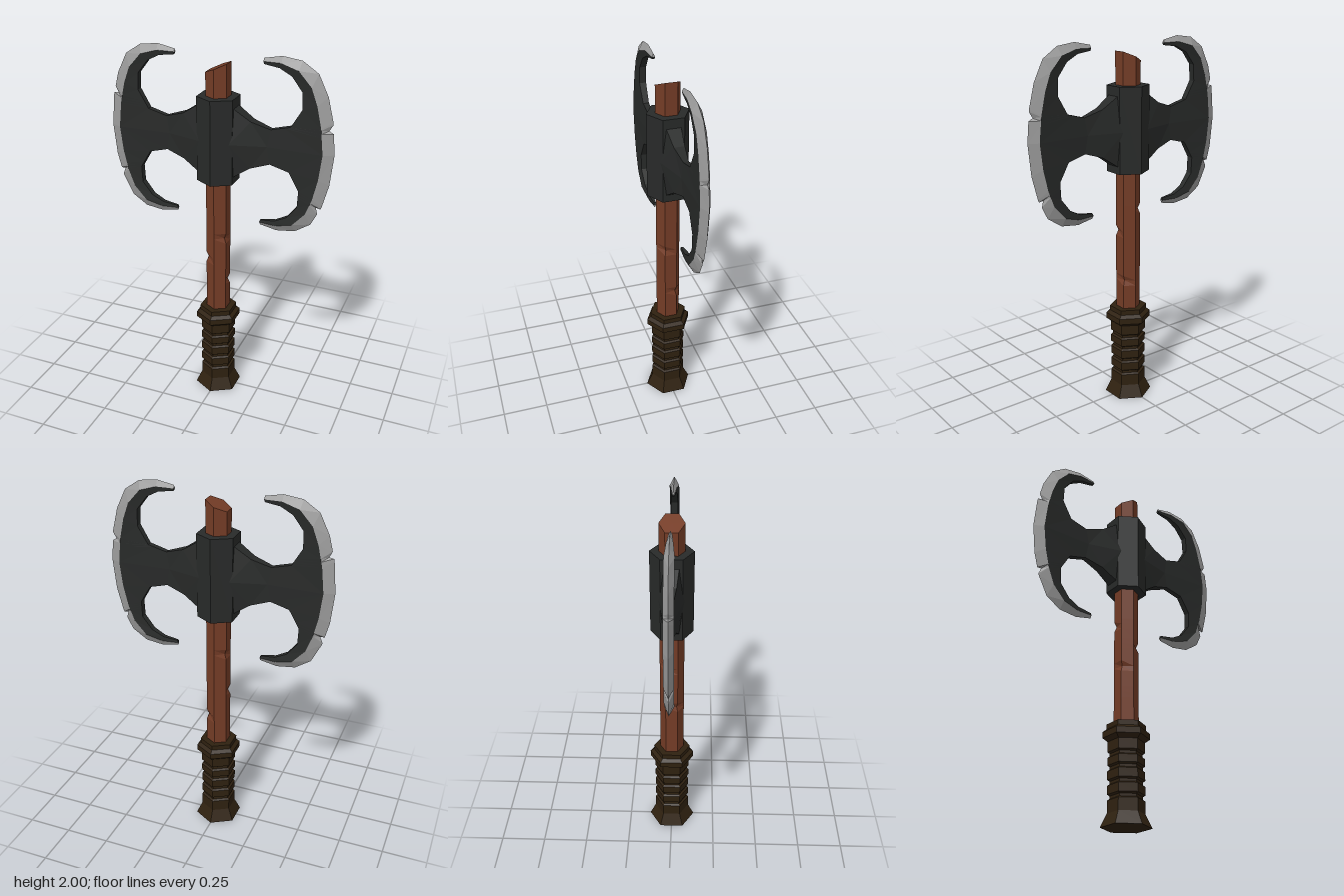
import * as THREE from 'three';

const mat = (color) => new THREE.MeshStandardMaterial({ color, flatShading: true });
const WOOD = mat(0x743c26), LEATHER = mat(0x2f2110), IRON = mat(0x282a29), STEEL = mat(0x9c9c9c);
const MID_Y = 1.535;

// Six-sided turned part from [radius, height] pairs, bottom to top
function hexLathe(name, profile, material) {
  const geo = new THREE.LatheGeometry(profile.map(([r, y]) => new THREE.Vector2(r, y)), 6);
  const mesh = new THREE.Mesh(geo, material);
  mesh.name = name;
  return mesh;
}

// Wooden shaft: slanted broken top and a few dents in its corners
function makeShaft() {
  const r = 0.066;
  const dents = [[0.7, 0.06, -0.03], [0.85, -0.06, 0.03], [0.98, 0.06, 0.03], [1.1, -0.06, -0.03]];
  const profile = [[0, 0.4], [r, 0.4]];
  dents.forEach(([y]) => profile.push([r, y - 0.03], [r, y], [r, y + 0.03]));
  profile.push([r, 1.915], [0, 1.915]);
  const shaft = hexLathe('shaft', profile, WOOD);
  const p = shaft.geometry.attributes.position;
  for (let i = 0; i < p.count; i++) {
    const x = p.getX(i), y = p.getY(i), z = p.getZ(i);
    if (y > 1.8) p.setY(i, y + x * 0.44);
    for (const [dy, dx, dz] of dents) {
      if (Math.abs(y - dy) < 0.001 && Math.hypot(x - dx, z - dz) < 0.02) p.setXYZ(i, x * 0.8, y, z * 0.8);
    }
  }
  shaft.geometry.computeVertexNormals();
  return shaft;
}

// Grip: flared pommel, grooved wrap and collar
function makeGrip() {
  const r = 0.097;
  const profile = [[0, 0], [0.131, 0], [r, 0.07]];
  for (const y of [0.15, 0.225, 0.3, 0.37]) {
    profile.push([r, y - 0.015], [r - 0.012, y - 0.007], [r - 0.012, y + 0.007], [r, y + 0.015]);
  }
  profile.push([r, 0.44], [0.124, 0.46], [0.124, 0.492], [0.103, 0.508], [0.103, 0.535], [0, 0.535]);
  return hexLathe('grip', profile, LEATHER);
}

// Stations from horn tip to blade middle: inner x, y, z; bevel x, y, z; cutting edge x, y
const HORN = [
  [0.24, 1.953, 0.006, 0.236, 1.966, 0.008, 0.238, 1.982],
  [0.32, 1.943, 0.012, 0.33, 1.968, 0.016, 0.33, 2.0],
  [0.385, 1.91, 0.016, 0.42, 1.942, 0.025, 0.43, 1.987],
  [0.44, 1.84, 0.018, 0.487, 1.868, 0.025, 0.513, 1.932],
  [0.444, 1.75, 0.018, 0.52, 1.78, 0.025, 0.566, 1.825],
  [0.388, 1.655, 0.016, 0.545, 1.67, 0.025, 0.598, 1.7],
  [0.286, 1.628, 0.014, 0.56, MID_Y, 0.025, 0.614, MID_Y],
];
// Neck stations: inner point and central ridge point
const NECK = [
  [0.185, 1.66, 0.028, 0.27, MID_Y, 0.017],
  [0.08, 1.73, 0.04, 0.08, MID_Y, 0.066],
];

// Insert a chip in the cutting edge: three stations, the middle one pulled inwards
function withNick(seg, t) {
  const out = HORN.slice();
  const chips = [-0.14, 0, 0.14].map((d) => {
    const s = HORN[seg].map((v, k) => THREE.MathUtils.lerp(v, HORN[seg + 1][k], t + d));
    if (d === 0) {
      s[6] += (s[3] - s[6]) * 0.4;
      s[7] += (s[4] - s[7]) * 0.4;
    }
    return s;
  });
  out.splice(seg + 1, 0, ...chips);
  return out;
}

function meshFrom(name, positions, material) {
  const geo = new THREE.BufferGeometry();
  geo.setAttribute('position', new THREE.Float32BufferAttribute(positions, 3));
  geo.computeVertexNormals();
  const mesh = new THREE.Mesh(geo, material);
  mesh.name = name;
  return mesh;
}

// One axe blade on side sx, mirrored up/down and front/back
function makeBlade(name, sx, upperNick, lowerNick) {
  const iron = [], steel = [];
  for (const sy of [1, -1]) {
    const horn = withNick(...(sy > 0 ? upperNick : lowerNick));
    const all = [...horn, ...NECK];
    for (const sz of [1, -1]) {
      const put = ([x, y, z]) => [sx * x, MID_Y + sy * (y - MID_Y), sz * z];
      const tri = (out, a, b, c) => {
        const order = sx * sy * sz > 0 ? [a, b, c] : [a, c, b];
        order.forEach((v) => out.push(...put(v)));
      };
      const quad = (out, a, b, c, d) => { tri(out, a, b, c); tri(out, a, c, d); };
      const inner = (s, k = 1) => [s[0], s[1], s[2] * k];
      const bevel = (s, k = 1) => [s[3], s[4], s[5] * k];
      const edge = (s) => [s[6], s[7], 0];

      for (let i = 0; i < all.length - 1; i++) {
        const a = all[i], b = all[i + 1];
        quad(iron, inner(a), inner(b), bevel(b), bevel(a));
        if (i < horn.length - 1) quad(steel, bevel(a), bevel(b), edge(b), edge(a));
        // Wall along the hollow side
        if (sz > 0) quad(iron, inner(a), inner(a, -1), inner(b, -1), inner(b));
      }
      // Closed horn tip
      if (sz > 0) {
        const s = horn[0];
        quad(iron, inner(s), bevel(s), bevel(s, -1), inner(s, -1));
        tri(steel, bevel(s), edge(s), bevel(s, -1));
      }
    }
  }
  const group = new THREE.Group();
  group.name = name;
  group.add(meshFrom('bladeBody', iron, IRON), meshFrom('cuttingEdge', steel, STEEL));
  return group;
}

export function createModel() {
  const axe = new THREE.Group();
  axe.name = 'doubleAxe';
  const socket = hexLathe('headSocket', [[0, 1.312], [0.113, 1.312], [0.113, 1.768], [0, 1.768]], IRON);
  axe.add(
    makeShaft(),
    makeGrip(),
    socket,
    makeBlade('leftBlade', 1, [5, 0.2], [3, 0.75]),
    makeBlade('rightBlade', -1, [4, 0.75], [4, 0.2]),
  );
  return axe;
}
